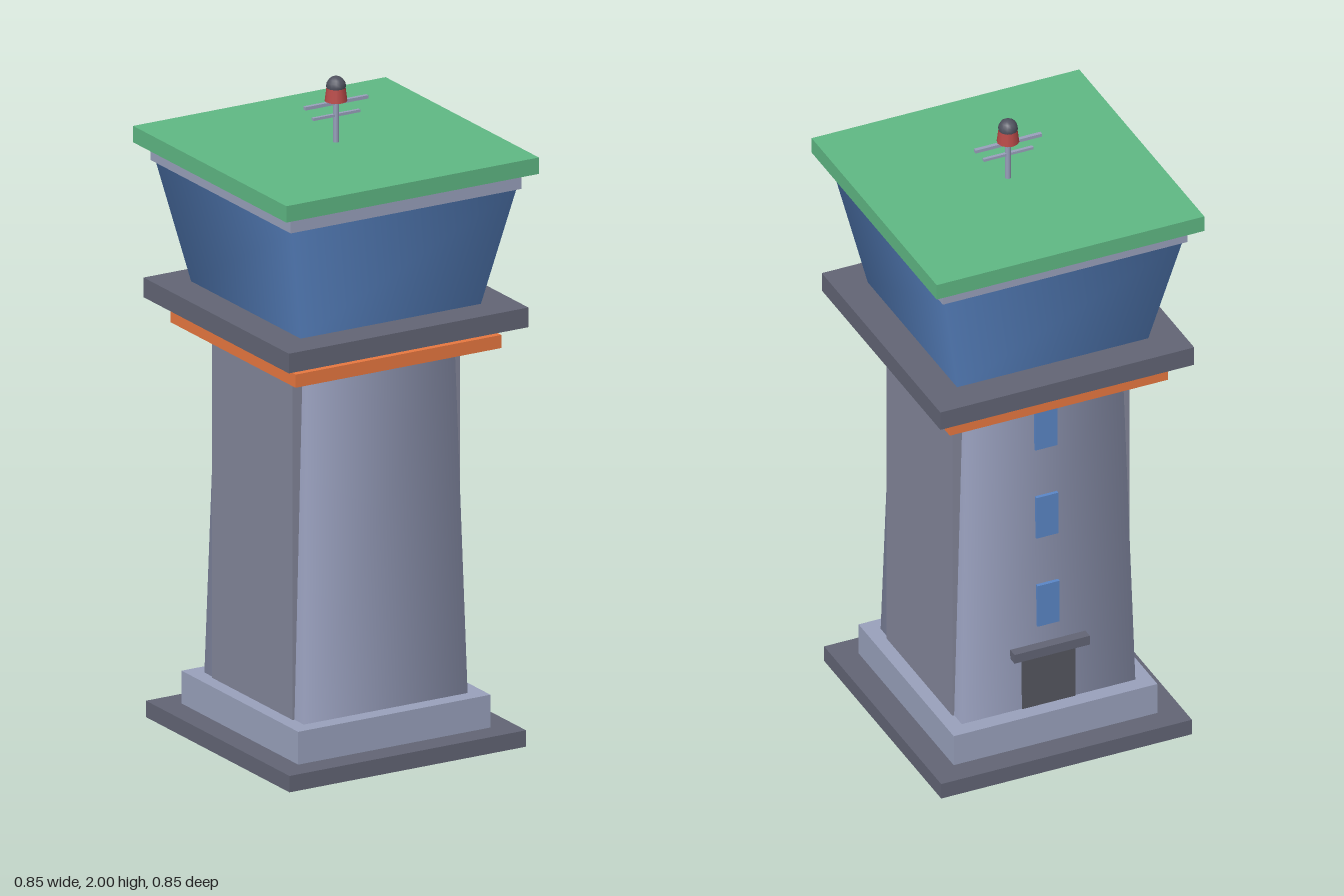
import * as THREE from 'three';

const mat = (color) => new THREE.MeshStandardMaterial({ color });

export function createModel() {
  const model = new THREE.Group();
  const wall = mat(0x9aa1bf), panel = mat(0x83869a), trim = mat(0x99a1bc), dark = mat(0x626575);
  const glass = mat(0x5a86c6), green = mat(0x5fb884), orange = mat(0xe87840);
  const red = mat(0xb84a48), doorMat = mat(0x55565f), domeMat = mat(0x50525f);

  const add = (name, geometry, material, x, y, z) => {
    const mesh = new THREE.Mesh(geometry, material);
    mesh.name = name;
    mesh.position.set(x, y, z);
    model.add(mesh);
    return mesh;
  };
  const box = (name, w, h, d, material, x, y, z) =>
    add(name, new THREE.BoxGeometry(w, h, d), material, x, y, z);
  // Square slab given by its half width and bottom and top heights
  const slab = (name, half, y0, y1, material) =>
    box(name, half * 2, y1 - y0, half * 2, material, 0, (y0 + y1) / 2, 0);
  // Four-sided tapered body with smooth normals
  const taper = (name, bottom, top, y0, y1, material) => {
    const g = new THREE.CylinderGeometry(top * Math.SQRT2, bottom * Math.SQRT2, y1 - y0, 4);
    g.rotateY(Math.PI / 4);
    return add(name, g, material, 0, (y0 + y1) / 2, 0);
  };

  // Stepped foundation
  slab('foundation', 0.4, 0, 0.05, dark);
  slab('plinth', 0.325, 0.05, 0.15, trim);

  // Shaft with a flat panel on each side
  taper('shaft', 0.277, 0.248, 0.15, 1.28, wall);
  for (const s of [-1, 1]) {
    box(s > 0 ? 'leftPanel' : 'rightPanel', 0.04, 1.13, 0.45, panel, s * 0.263, 0.715, 0);
  }

  // Collar, balcony and control cab
  slab('collarBand', 0.348, 1.21, 1.25, orange);
  slab('balcony', 0.405, 1.28, 1.34, dark);
  taper('cabGlass', 0.305, 0.38, 1.34, 1.7, glass);
  slab('cabTrim', 0.39, 1.7, 1.75, trim);
  slab('roof', 0.427, 1.75, 1.8, green);

  // Rear door, canopy and stair windows
  box('door', 0.17, 0.18, 0.02, doorMat, 0, 0.24, -0.27);
  box('doorCanopy', 0.24, 0.03, 0.06, dark, 0, 0.345, -0.272);
  [0.49, 0.79, 1.09].forEach((y, i) => {
    box('stairWindow', 0.07, 0.14, 0.02, glass, 0, y, -0.268 + i * 0.008);
  });

  // Mast with two crossbars and a beacon
  add('mast', new THREE.CylinderGeometry(0.009, 0.009, 0.13, 8), trim, 0, 1.865, 0);
  box('upperCrossbar', 0.212, 0.01, 0.012, trim, 0, 1.92, 0);
  box('lowerCrossbar', 0.158, 0.008, 0.01, trim, 0, 1.882, 0);
  add('beacon', new THREE.CylinderGeometry(0.026, 0.033, 0.055, 12), red, 0, 1.953, 0);
  add('beaconDome', new THREE.SphereGeometry(0.029, 12, 8), domeMat, 0, 1.971, 0);

  return model;
}
